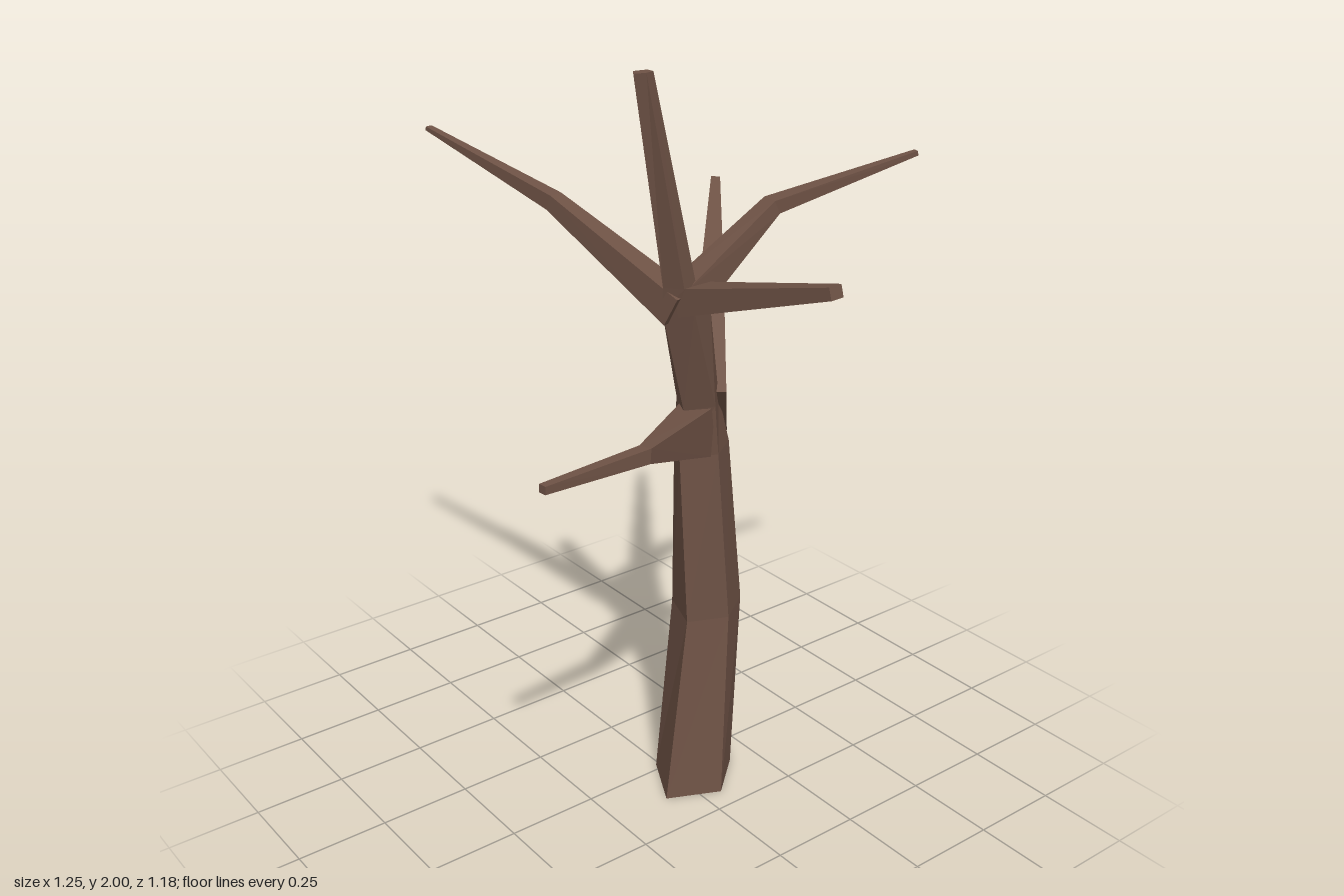
import * as THREE from 'three';

// Skin closed rings (each counter-clockwise about the growth direction) with flat faces and end caps
function skin(rings) {
  const pos = [];
  const tri = (...pts) => pts.forEach((p) => pos.push(p.x, p.y, p.z));
  const n = rings[0].length;
  for (let r = 0; r < rings.length - 1; r++) {
    const a = rings[r], b = rings[r + 1];
    for (let i = 0; i < n; i++) {
      const j = (i + 1) % n;
      tri(a[i], a[j], b[j]);
      tri(a[i], b[j], b[i]);
    }
  }
  const first = rings[0], last = rings[rings.length - 1];
  for (let i = 1; i < n - 1; i++) {
    tri(first[0], first[i + 1], first[i]);
    tri(last[0], last[i], last[i + 1]);
  }
  const g = new THREE.BufferGeometry();
  g.setAttribute('position', new THREE.Float32BufferAttribute(pos, 3));
  g.computeVertexNormals();
  return g;
}

// Four-sided tapering limb through stations [x, y, z, halfWidth, halfHeight]
function limb(stations) {
  const c = stations.map((s) => new THREE.Vector3(s[0], s[1], s[2]));
  const up = new THREE.Vector3(0, 1, 0);
  return skin(stations.map(([, , , w, h], i) => {
    const d = new THREE.Vector3();
    if (i > 0) d.add(c[i].clone().sub(c[i - 1]).normalize());
    if (i < c.length - 1) d.add(c[i + 1].clone().sub(c[i]).normalize());
    d.normalize();
    const side = up.clone().cross(d).normalize();
    const top = d.clone().cross(side);
    return [[-1, -1], [1, -1], [1, 1], [-1, 1]].map(([a, b]) =>
      c[i].clone().addScaledVector(side, a * w).addScaledVector(top, b * h));
  }));
}

export function createModel() {
  const tree = new THREE.Group();
  tree.name = 'bareTree';
  const bark = new THREE.MeshStandardMaterial({ color: 0x6e5245, flatShading: true });
  bark.name = 'brown bark';
  const add = (name, geometry) => {
    const mesh = new THREE.Mesh(geometry, bark);
    mesh.name = name;
    tree.add(mesh);
  };

  // Five-sided trunk: height, then x/z corners starting at the front
  const trunk = [
    [0, [0.125, 0.085], [0.19, -0.055], [0.09, -0.17], [-0.02, -0.11], [-0.02, 0.01]],
    [0.52, [0.11, 0.005], [0.155, -0.1], [0.085, -0.2], [-0.015, -0.15], [-0.012, -0.04]],
    [1.0, [0.1, 0.025], [0.145, -0.065], [0.09, -0.145], [0.02, -0.105], [0.02, -0.02]],
    [1.14, [0.128, 0.035], [0.155, -0.045], [0.1, -0.1], [0.04, -0.08], [0.042, -0.01]],
    [1.42, [0.138, 0.11], [0.2, 0.06], [0.185, 0.0], [0.13, 0.0], [0.11, 0.07]],
    [1.48, [0.148, 0.115], [0.192, 0.085], [0.18, 0.04], [0.14, 0.035], [0.12, 0.075]],
    [2.0, [0.192, 0.23], [0.2, 0.2], [0.192, 0.175], [0.17, 0.175], [0.165, 0.21]],
  ];
  add('trunk', skin(trunk.map(([y, ...pts]) => pts.map(([x, z]) => new THREE.Vector3(x, y, z)))));

  // Lower fork
  add('lowerBackBranch', limb([
    [0.07, 1.09, -0.085, 0.052, 0.095],
    [-0.175, 1.335, -0.3, 0.031, 0.032],
    [-0.51, 1.497, -0.583, 0.013, 0.013],
  ]));
  add('lowerFrontBranch', limb([
    [0.11, 1.07, -0.02, 0.045, 0.065],
    [0.297, 1.147, 0.282, 0.017, 0.019],
    [0.326, 1.156, 0.586, 0.011, 0.01],
  ]));

  // Upper fork
  add('upperRightBranch', limb([
    [0.155, 1.42, 0.07, 0.038, 0.04],
    [-0.205, 1.625, 0.182, 0.02, 0.02],
    [-0.63, 1.745, 0.281, 0.01, 0.005],
  ]));
  add('upperLeftBranch', limb([
    [0.16, 1.44, 0.045, 0.044, 0.034],
    [0.615, 1.567, 0.0, 0.02, 0.015],
  ]));
  add('upperBackBranch', limb([
    [0.15, 1.44, 0.05, 0.035, 0.04],
    [0.155, 1.627, -0.215, 0.025, 0.018],
    [0.272, 1.725, -0.584, 0.009, 0.006],
  ]));
  return tree;
}
